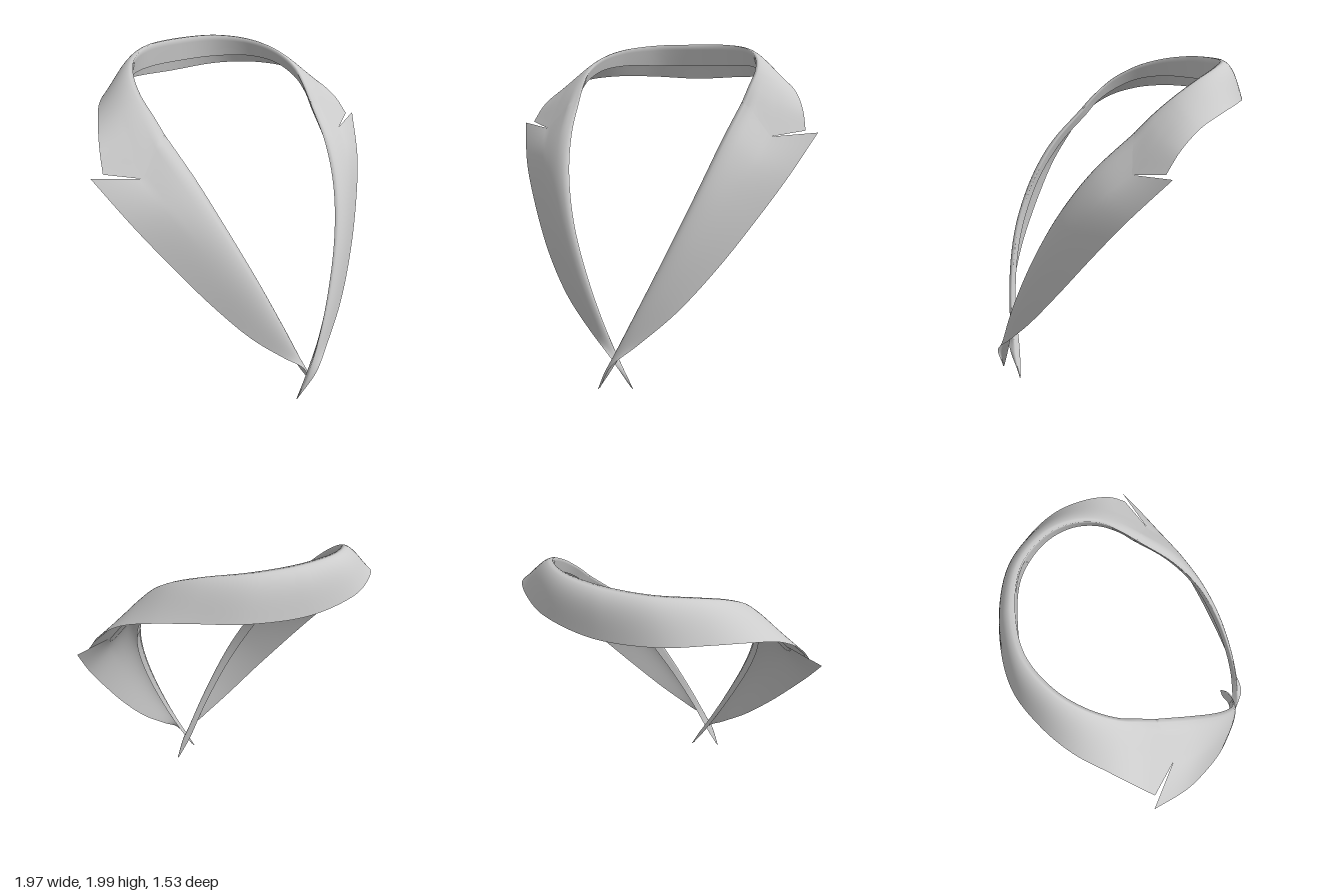
import * as THREE from 'three';

const material = new THREE.MeshStandardMaterial({ color: 0xcccccc, side: THREE.DoubleSide });
const vec = (p) => new THREE.Vector3(...p);
const flip = ([x, y, z]) => [-x, y, z];
const lerp = (a, b, s) => a.clone().lerp(b, s);

// Seam between collar and lapel: from the fold line out to the notch
const SEAM = [[0, [0.54, 1.63, 0.02]], [0.15, [0.60, 1.595, 0.05]], [0.5, [0.737, 1.44, 0.1]]];

// Point on the notched end edge, whose outermost corner is tip
function endEdge(u, tip) {
  const pts = [...SEAM, [1, tip]];
  let i = 0;
  while (i < 2 && u > pts[i + 1][0]) i++;
  const [u0, a] = pts[i], [u1, b] = pts[i + 1];
  return lerp(vec(a), vec(b), (u - u0) / (u1 - u0));
}

// Sheet over three rails: hidden stand edge, fold line and free outer edge.
// roll(t) is the outward bulge as a share of the width.
function foldedSheet(rails, { rows, roll, ends, adjust, mirror }) {
  const [stand, fold, outer] = rails.map((r) => new THREE.CatmullRomCurve3(r.map(vec)));
  const us = [];
  for (let i = -4; i <= 20; i++) us.push(i < 0 ? i / 4 : i / 20);
  const section = (t, u) => {
    const S = stand.getPoint(t), F = fold.getPoint(t), O = outer.getPoint(t);
    if (u < 0) return lerp(F, S, -u);
    const across = O.clone().sub(F);
    const normal = fold.getTangent(t).cross(across).normalize();
    return lerp(F, O, u).addScaledVector(normal, roll(t) * across.length() * Math.sin(Math.PI * u ** 0.6));
  };
  const pos = [], index = [], n = us.length;
  for (let r = 0; r <= rows; r++) {
    const t = r / rows;
    for (const u of us) {
      const p = section(t, u);
      // bend the sheet near each notched end so that it meets the seam
      for (const e of ends) {
        const w = Math.max(0, 1 - Math.abs(t - e.t) / e.reach) ** 2;
        if (u < 0 || w === 0) continue;
        const target = endEdge(u, e.tip);
        target.x *= e.sign;
        p.addScaledVector(target.sub(section(e.t, u)), w);
      }
      if (adjust) adjust(p, t);
      pos.push(mirror ? -p.x : p.x, p.y, p.z);
    }
  }
  for (let r = 0; r < rows; r++) {
    for (let c = 0; c < n - 1; c++) {
      const a = r * n + c, b = a + 1, d = a + n, e = d + 1;
      if (mirror) index.push(a, b, d, b, e, d);
      else index.push(a, d, b, b, d, e);
    }
  }
  const g = new THREE.BufferGeometry();
  g.setAttribute('position', new THREE.Float32BufferAttribute(pos, 3));
  g.setIndex(index);
  g.computeVertexNormals();
  return g;
}

// Collar rails, from the centre back round to the front end
const COLLAR_TIP = [0.915, 1.47, -0.02];
const COLLAR = [
  [[0, 1.84, -0.655], [0.25, 1.84, -0.625], [0.44, 1.84, -0.5], [0.545, 1.81, -0.35], [0.59, 1.74, -0.2], [0.585, 1.66, -0.08], [0.57, 1.58, 0]],
  [[0, 1.985, -0.645], [0.25, 1.98, -0.605], [0.43, 1.95, -0.475], [0.525, 1.895, -0.33], [0.565, 1.81, -0.18], [0.555, 1.72, -0.07], [0.54, 1.63, 0.02]],
  [[0, 1.75, -0.77], [0.34, 1.765, -0.715], [0.56, 1.765, -0.575], [0.71, 1.74, -0.42], [0.81, 1.68, -0.25], [0.88, 1.58, -0.11], COLLAR_TIP],
];

// Lapel rails, from the seam down to the crossing point
const LAPEL_TIP = [0.985, 1.46, -0.03];
const LAPEL = [
  [[0.57, 1.58, 0], [0.53, 1.39, 0.2], [0.465, 1.17, 0.365], [0.37, 0.92, 0.49], [0.245, 0.64, 0.595], [0.11, 0.36, 0.665], [0, 0.15, 0.69], [-0.085, 0.01, 0.705]],
  [[0.54, 1.63, 0.02], [0.485, 1.42, 0.24], [0.42, 1.2, 0.4], [0.33, 0.95, 0.525], [0.21, 0.66, 0.625], [0.08, 0.37, 0.695], [-0.03, 0.14, 0.72], [-0.095, 0, 0.71]],
  [LAPEL_TIP, [0.86, 1.22, 0.17], [0.725, 1.0, 0.315], [0.55, 0.74, 0.465], [0.35, 0.49, 0.6], [0.15, 0.3, 0.7], [0.02, 0.185, 0.755], [-0.075, 0.02, 0.715]],
];

export function createModel() {
  const group = new THREE.Group();
  const add = (name, geometry) => {
    const mesh = new THREE.Mesh(geometry, material);
    mesh.name = name;
    group.add(mesh);
  };

  // Collar: both halves in one sheet round the neck
  add('collar', foldedSheet(
    COLLAR.map((r) => [...r.slice(1).reverse().map(flip), ...r]),
    {
      rows: 96,
      roll: (t) => 0.17 - 0.12 * Math.min(1, Math.abs(2 * t - 1) * 1.4),
      ends: [
        { t: 0, sign: -1, reach: 0.16, tip: COLLAR_TIP },
        { t: 1, sign: 1, reach: 0.16, tip: COLLAR_TIP },
      ],
    },
  ));

  // Lapels: the left one crosses in front, the right one tucks behind it
  const tuck = (p, t) => { p.z -= 0.08 * THREE.MathUtils.smoothstep(t, 0.4, 0.9); };
  for (const right of [false, true]) {
    add(right ? 'rightLapel' : 'leftLapel', foldedSheet(LAPEL, {
      rows: 64,
      roll: () => 0.1,
      ends: [{ t: 0, sign: 1, reach: 0.35, tip: LAPEL_TIP }],
      adjust: right ? tuck : null,
      mirror: right,
    }));
  }
  return group;
}
